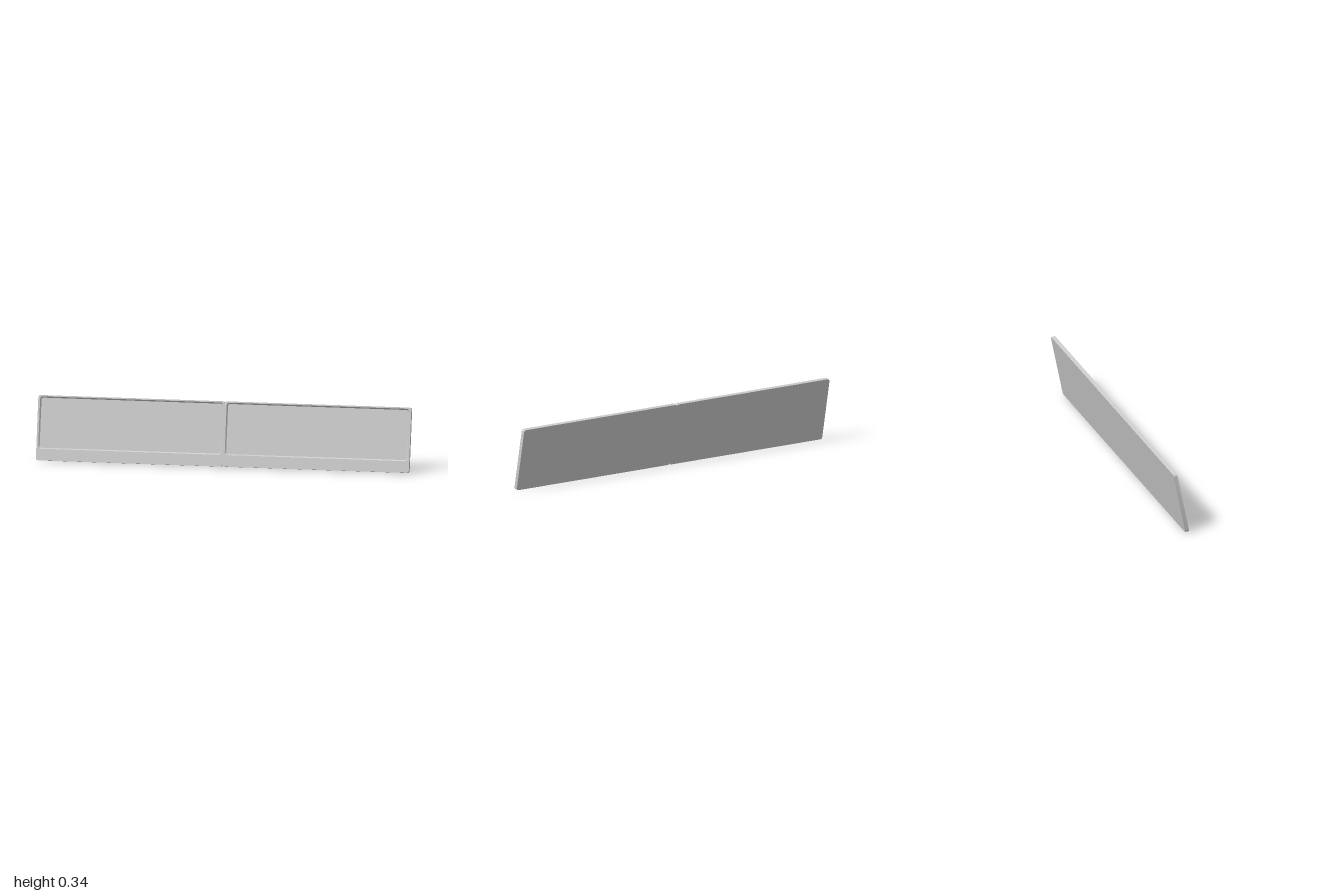
import * as THREE from 'three';
import { toCreasedNormals } from 'three/addons/utils/BufferGeometryUtils.js';

const W = 1, H = 0.343, T = 0.0215; // one panel
const DEPTH = 0.009;                // recess depth
const TILT = 0.2;                   // lean backwards
const STEPS = 5;                    // segments per rounded corner

// Rounded rectangle as a counter-clockwise loop at depth z
function loop(x0, x1, y0, y1, r, z) {
  const pts = [];
  const corners = [[x1 - r, y0 + r], [x1 - r, y1 - r], [x0 + r, y1 - r], [x0 + r, y0 + r]];
  corners.forEach(([cx, cy], k) => {
    for (let i = 0; i <= STEPS; i++) {
      const a = (k - 1 + i / STEPS) * Math.PI / 2;
      pts.push([cx + r * Math.cos(a), cy + r * Math.sin(a), z]);
    }
  });
  return pts;
}

// Joins successive loops with quads
function loft(loops) {
  const pos = [];
  for (let k = 0; k < loops.length - 1; k++) {
    const p = loops[k], q = loops[k + 1], n = p.length;
    for (let i = 0; i < n; i++) {
      const j = (i + 1) % n;
      if (k > 0) pos.push(...p[i], ...p[j], ...q[j]);
      if (k < loops.length - 2) pos.push(...p[i], ...q[j], ...q[i]);
    }
    // end caps: the collapsed loops need one triangle per side
    if (k === 0) for (let i = 0; i < n; i++) pos.push(...p[i], ...q[(i + 1) % n], ...q[i]);
  }
  const g = new THREE.BufferGeometry();
  // the first cap is already covered once by the k = 0 branches
  g.setAttribute('position', new THREE.Float32BufferAttribute(pos.slice(loops[0].length * 9), 3));
  return toCreasedNormals(g, 0.6);
}

function panelGeometry() {
  const w = W / 2, h = H / 2, t = T / 2;
  const centre = z => loop(0, 0, 0, 0, 0, z);
  return loft([
    centre(-t),
    loop(-w, w, -h, h, 0.012, -t),                                          // back edge
    loop(-w, w, -h, h, 0.012, t),                                           // front edge
    loop(-w + 0.01, w - 0.01, -h + 0.061, h - 0.007, 0.015, t),             // recess rim
    loop(-w + 0.016, w - 0.016, -h + 0.067, h - 0.013, 0.010, t - DEPTH),   // recess floor
    centre(t - DEPTH),
  ]);
}

export function createModel() {
  const group = new THREE.Group();
  const material = new THREE.MeshStandardMaterial({ color: 0xcccccc });
  const geometry = panelGeometry();

  // Two recessed panels side by side, leaning back together
  for (const side of [-1, 1]) {
    const panel = new THREE.Mesh(geometry, material);
    panel.name = side > 0 ? 'leftPanel' : 'rightPanel';
    panel.position.set(side * W / 2, (H * Math.cos(TILT) + T * Math.sin(TILT)) / 2, 0);
    panel.rotation.x = -TILT;
    group.add(panel);
  }
  return group;
}
